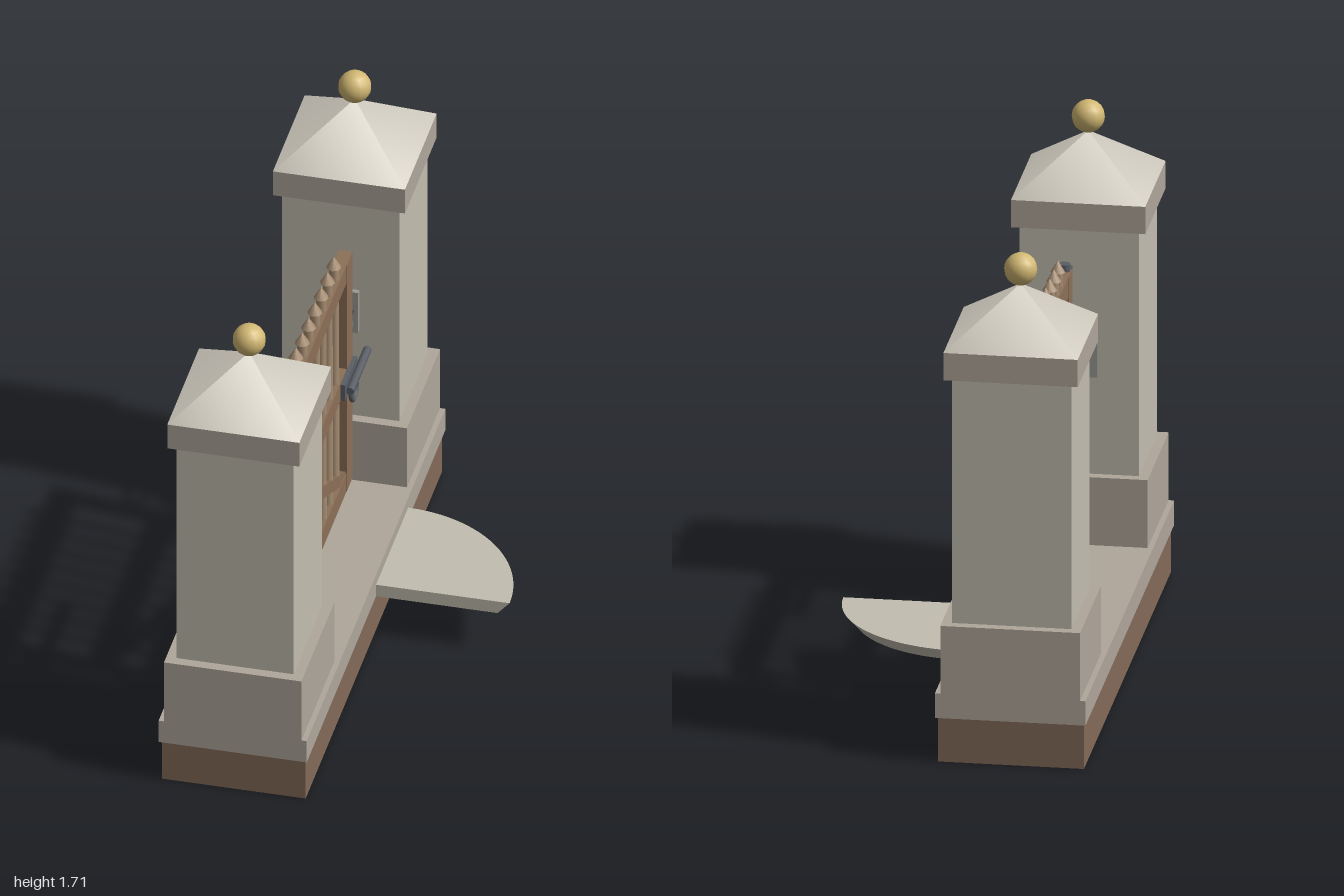
import * as THREE from 'three';

const mat = (color, extra = {}) => new THREE.MeshStandardMaterial({ color, ...extra });
const M = {
  earth: mat(0x836a58), stone: mat(0xc2beb0), trim: mat(0xb0a79b), roof: mat(0xcfcabe),
  brass: mat(0xd2b873), wood: mat(0x8c7058), picket: mat(0xa68d72), iron: mat(0x5a5e66),
  plate: mat(0x9a9b94),
};

function add(parent, name, geometry, material, x = 0, y = 0, z = 0) {
  const mesh = new THREE.Mesh(geometry, material);
  mesh.name = name;
  mesh.position.set(x, y, z);
  parent.add(mesh);
  return mesh;
}

// Box given by its vertical range
function slab(parent, name, material, w, d, y0, y1, x = 0, z = 0) {
  return add(parent, name, new THREE.BoxGeometry(w, y1 - y0, d), material, x, (y0 + y1) / 2, z);
}

function group(parent, name) {
  const g = new THREE.Group();
  g.name = name;
  parent.add(g);
  return g;
}

// Stone pier with plinth, cap, pyramid roof and ball
function pier(parent, z) {
  const g = group(parent, 'pier');
  g.position.z = z;
  slab(g, 'plinth', M.trim, 0.462, 0.462, 0.242, 0.478);
  slab(g, 'shaft', M.stone, 0.394, 0.394, 0.478, 1.33);
  slab(g, 'cap', M.trim, 0.444, 0.444, 1.33, 1.425);
  const roof = new THREE.ConeGeometry(0.444 / Math.SQRT2, 0.175, 4).rotateY(Math.PI / 4);
  add(g, 'pyramidRoof', roof, M.roof, 0, 1.5125, 0);
  add(g, 'ball', new THREE.SphereGeometry(0.055, 14, 10), M.brass, 0, 1.65, 0);
  // small plate on the face toward the gate
  slab(g, 'wallPlate', M.plate, 0.125, 0.02, 0.82, 0.98, 0, -Math.sign(z) * 0.205);
}

function gate(parent) {
  const g = group(parent, 'gate');
  g.position.x = 0.04;
  const t = 0.046;
  for (const z of [0.465, -0.405]) slab(g, 'stile', M.wood, t, 0.08, 0.295, 1.2, 0, z);
  for (const [y0, y1] of [[0.295, 0.367], [0.715, 0.785], [1.128, 1.2]])
    slab(g, 'rail', M.wood, t - 0.002, 0.8, y0, y1, 0, 0.03);

  // diagonal brace
  const dz = 0.8, dy = 0.395;
  const brace = add(g, 'brace', new THREE.BoxGeometry(0.038, 0.042, Math.hypot(dz, dy)), M.wood, 0, 0.5445, 0.03);
  brace.rotation.x = -Math.atan2(dy, dz);

  // round pickets with pointed heads
  for (let i = 0; i < 8; i++) {
    const z = 0.339 - i * 0.0883;
    add(g, 'picket', new THREE.CylinderGeometry(0.017, 0.019, 0.92, 8), M.picket, 0, 0.79, z);
    add(g, 'picketPoint', new THREE.ConeGeometry(0.025, 0.042, 8), M.picket, 0, 1.269, z);
  }

  // strap hinges with bolts and knuckles
  for (const y of [1.02, 0.478]) {
    slab(g, 'hingeStrap', M.iron, 0.014, 0.36, y - 0.02, y + 0.02, 0.029, 0.335);
    slab(g, 'hingeKnuckle', M.iron, 0.05, 0.05, y - 0.03, y + 0.03, 0.012, 0.523);
    for (const z of [0.43, 0.29, 0.2]) {
      const bolt = new THREE.CylinderGeometry(0.013, 0.013, 0.016, 8).rotateZ(Math.PI / 2);
      add(g, 'hingeBolt', bolt, M.iron, 0.042, y, z);
    }
  }
  // pivot brackets reaching from the pier
  for (const y of [1.18, 0.632]) slab(g, 'pivotBracket', M.iron, 0.036, 0.045, y - 0.02, y + 0.02, 0, 0.523);
  add(g, 'pivotPin', new THREE.CylinderGeometry(0.02, 0.02, 0.03, 10), M.iron, 0, 1.21, 0.485);

  // sliding latch with ring pull
  slab(g, 'latchPlate', M.iron, 0.016, 0.17, 0.717, 0.78, 0.03, -0.365);
  const rod = new THREE.CylinderGeometry(0.014, 0.014, 0.27, 10).rotateX(Math.PI / 2);
  add(g, 'latchBolt', rod, M.iron, 0.05, 0.748, -0.43);
  const ring = new THREE.TorusGeometry(0.035, 0.009, 8, 20).rotateY(Math.PI / 2);
  add(g, 'latchRing', ring, M.iron, 0.046, 0.708, -0.365);
}

// Quarter-round step, undercut along its curved rim
function quarterStep() {
  const shape = new THREE.Shape();
  shape.moveTo(0, 0);
  shape.lineTo(0.45, 0);
  shape.absarc(0, 0, 0.45, 0, Math.PI / 2, false);
  shape.lineTo(0, 0);
  const geo = new THREE.ExtrudeGeometry(shape, { depth: 0.046, bevelEnabled: false, curveSegments: 24 });
  const p = geo.attributes.position;
  for (let i = 0; i < p.count; i++)
    if (p.getZ(i) < 0.01) p.setXY(i, p.getX(i) * 0.91, p.getY(i) * 0.91);
  geo.rotateX(-Math.PI / 2);
  geo.computeVertexNormals();
  return geo;
}

export function createModel() {
  const model = new THREE.Group();
  model.name = 'gateway';
  const body = group(model, 'gatewayBody');
  body.position.set(-0.125, 0, 0.002);
  body.rotation.y = -THREE.MathUtils.degToRad(12);

  slab(body, 'foundation', M.earth, 0.483, 1.905, 0, 0.157);
  slab(body, 'threshold', M.trim, 0.498, 1.938, 0.157, 0.242);
  for (const s of [-1, 1]) pier(body, s * 0.738);
  gate(body);
  add(body, 'quarterStep', quarterStep(), M.stone, 0.248, 0.157, 0);

  // ring fixed to the latch pier
  const ring = new THREE.TorusGeometry(0.04, 0.01, 8, 20).rotateY(Math.PI / 2);
  add(body, 'pierRing', ring, M.iron, 0.04, 0.885, -0.492);
  return model;
}
